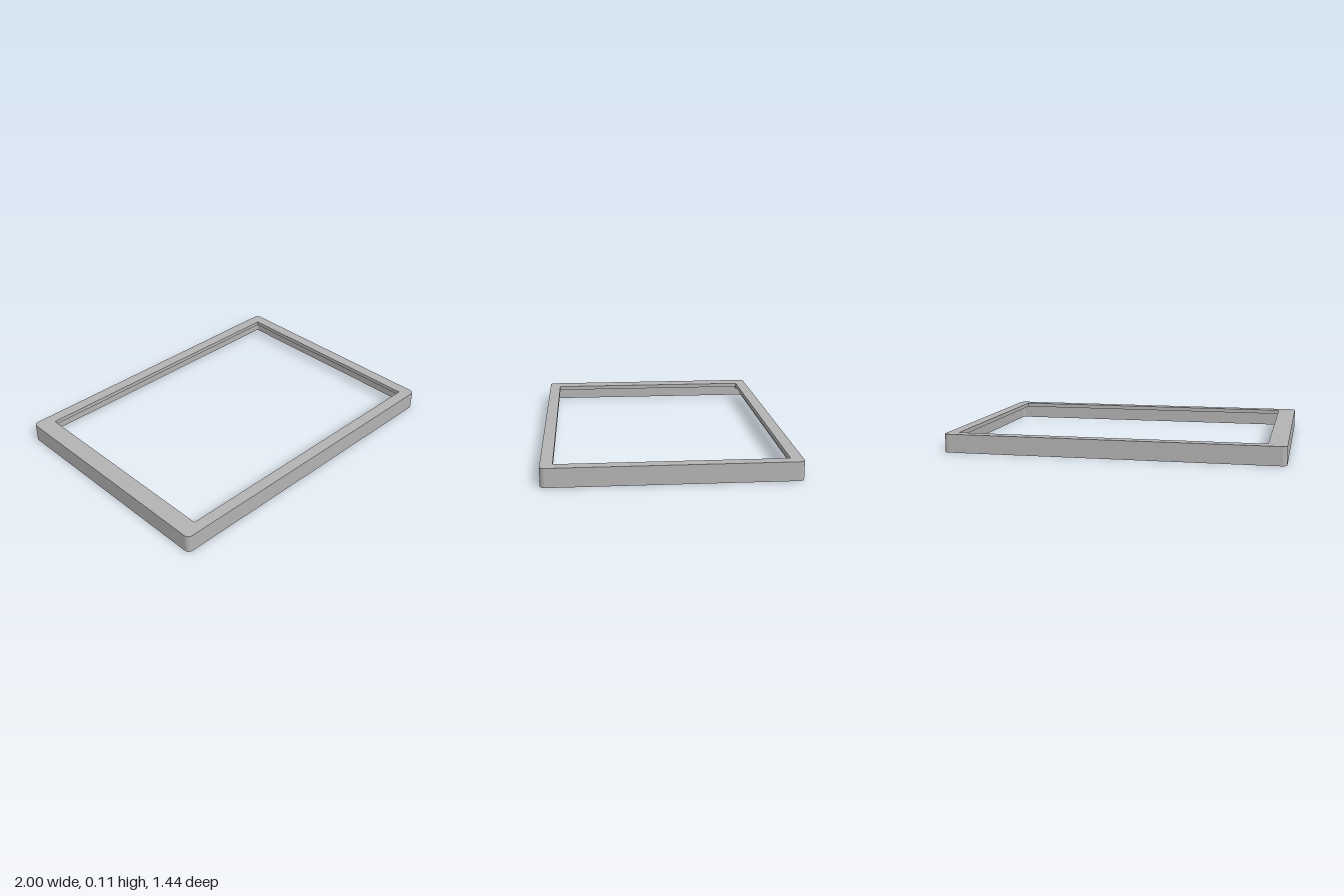
import * as THREE from 'three';

const W = 2, D = 1.44, H = 0.11;
const WALL = 0.015, PLATE = 0.025, RADIUS = 0.03;

// Traces a rounded rectangle on a Shape or Path
function roundedRect(path, x0, y0, x1, y1, r) {
  path.moveTo(x0 + r, y0);
  path.lineTo(x1 - r, y0);
  path.absarc(x1 - r, y0 + r, r, -Math.PI / 2, 0);
  path.lineTo(x1, y1 - r);
  path.absarc(x1 - r, y1 - r, r, 0, Math.PI / 2);
  path.lineTo(x0 + r, y1);
  path.absarc(x0 + r, y1 - r, r, Math.PI / 2, Math.PI);
  path.lineTo(x0, y0 + r);
  path.absarc(x0 + r, y0 + r, r, Math.PI, Math.PI * 1.5);
  return path;
}

// Outer outline with a hole, extruded upwards from y0 to y1
function ring(hole, y0, y1) {
  const shape = roundedRect(new THREE.Shape(), -W / 2, -D / 2, W / 2, D / 2, RADIUS);
  shape.holes.push(hole);
  const geo = new THREE.ExtrudeGeometry(shape, { depth: y1 - y0, bevelEnabled: false, curveSegments: 8 });
  return geo.rotateX(-Math.PI / 2).translate(0, y0, 0);
}

export function createModel() {
  const group = new THREE.Group();
  group.name = 'screenBezel';
  const grey = new THREE.MeshStandardMaterial({ color: 0xb3b3b3 });
  grey.name = 'grey plastic';

  const add = (name, geometry) => {
    const mesh = new THREE.Mesh(geometry, grey);
    mesh.name = name;
    group.add(mesh);
    return mesh;
  };

  // Thin skirt around the outside, open underneath
  const cavity = roundedRect(new THREE.Path(),
    -W / 2 + WALL, -D / 2 + WALL, W / 2 - WALL, D / 2 - WALL, RADIUS - WALL);
  add('outerWall', ring(cavity, 0, H - PLATE));

  // Top plate with an off-centre rectangular opening
  const opening = new THREE.Path();
  opening.moveTo(-0.89, -0.65);
  opening.lineTo(0.93, -0.65);
  opening.lineTo(0.93, 0.65);
  opening.lineTo(-0.89, 0.65);
  opening.closePath();
  add('topPlate', ring(opening, H - PLATE, H));

  // Short bosses under the wide border
  for (const side of [1, -1]) {
    const boss = add(side > 0 ? 'frontBoss' : 'backBoss', new THREE.CylinderGeometry(0.03, 0.03, 0.02, 24));
    boss.position.set(-0.925, H - PLATE - 0.009, side * 0.679);
  }
  return group;
}
